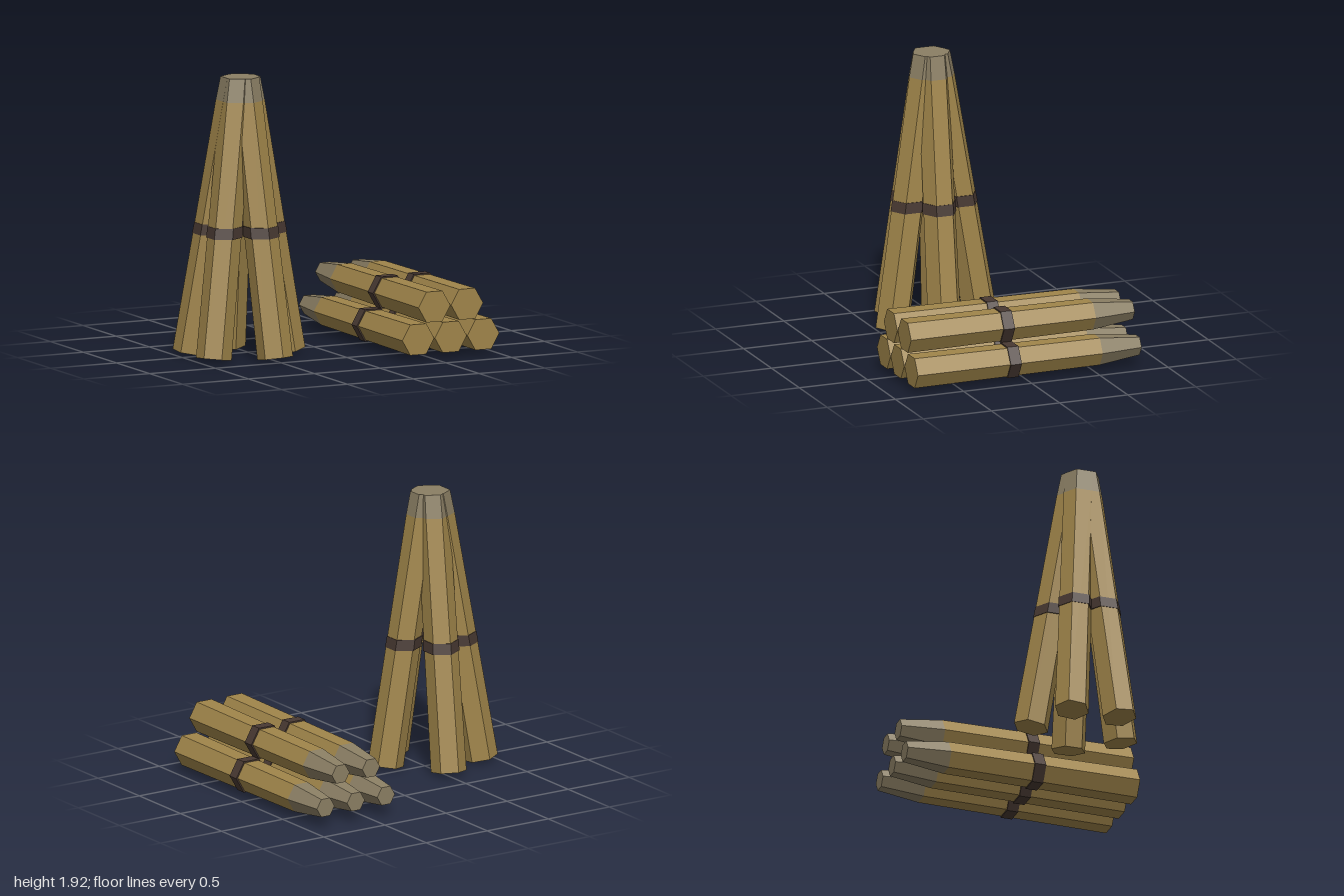
import * as THREE from 'three';

const wood = new THREE.MeshStandardMaterial({ color: 0xa0854a });
const paleTip = new THREE.MeshStandardMaterial({ color: 0x8b7f64 });
const darkBand = new THREE.MeshStandardMaterial({ color: 0x483932 });
wood.name = 'wood';
paleTip.name = 'paleTip';
darkBand.name = 'darkBand';

// Give every face its own flat normal
function faceted(geometry) {
  const flat = geometry.toNonIndexed();
  flat.computeVertexNormals();
  return flat;
}

function addPart(group, name, geometry, material) {
  const mesh = new THREE.Mesh(faceted(geometry), material);
  mesh.name = name;
  group.add(mesh);
}

// Lying log: six-sided, flat sides up and down, tapered tip towards the back
function lyingLog(x, y) {
  const log = new THREE.Group();
  log.name = 'lyingLog';
  const section = (zFront, zBack, rFront, rBack) =>
    new THREE.CylinderGeometry(rBack, rFront, zFront - zBack, 6)
      .rotateY(Math.PI / 6)
      .rotateX(-Math.PI / 2)
      .translate(0, 0, (zFront + zBack) / 2);
  addPart(log, 'shaft', section(0.83, -0.53, 0.121, 0.11), wood);
  addPart(log, 'tip', section(-0.53, -0.83, 0.11, 0.072), paleTip);
  addPart(log, 'band', section(0.15, 0.07, 0.126, 0.126), darkBand);
  log.position.set(x, y, 0);
  return log;
}

// Standing log: level cross-sections sliding inwards towards the shared top
const HEIGHT = 1.92, FOOT_RADIUS = 0.34, TOP_RADIUS = 0.032;
function standingLog(degrees) {
  const log = new THREE.Group();
  log.name = 'standingLog';
  const a = THREE.MathUtils.degToRad(degrees);
  const dx = Math.cos(a), dz = Math.sin(a);
  const section = (y0, y1, r0, r1) => {
    const g = new THREE.CylinderGeometry(r1, r0, y1 - y0, 6).translate(0, (y0 + y1) / 2, 0);
    const p = g.attributes.position;
    for (let i = 0; i < p.count; i++) {
      const x = p.getX(i), z = p.getZ(i);
      let y = p.getY(i);
      const lean = THREE.MathUtils.lerp(FOOT_RADIUS, TOP_RADIUS, y / HEIGHT);
      // the foot is cut square to the leaning log
      if (y < 0.001) y = 0.022 + 0.16 * (x * dx + z * dz);
      p.setXYZ(i, x + dx * lean, y, z + dz * lean);
    }
    return g;
  };
  addPart(log, 'shaft', section(0, 1.76, 0.121, 0.111), wood);
  addPart(log, 'tip', section(1.76, HEIGHT, 0.111, 0.105), paleTip);
  addPart(log, 'band', section(0.84, 0.915, 0.124, 0.122), darkBand);
  return log;
}

export function createModel() {
  const model = new THREE.Group();
  model.name = 'logStacks';

  // Five logs leaning together
  const tripod = new THREE.Group();
  tripod.name = 'leaningLogs';
  for (const degrees of [6, 73, 149, 210, 282]) tripod.add(standingLog(degrees));
  tripod.position.set(-0.6, 0, 0.085);
  model.add(tripod);

  // Pile of three logs with two on top
  const pile = new THREE.Group();
  pile.name = 'logPile';
  for (const x of [0.376, 0.623, 0.87]) pile.add(lyingLog(x, 0.147));
  for (const x of [0.499, 0.747]) pile.add(lyingLog(x, 0.364));
  model.add(pile);

  return model;
}
